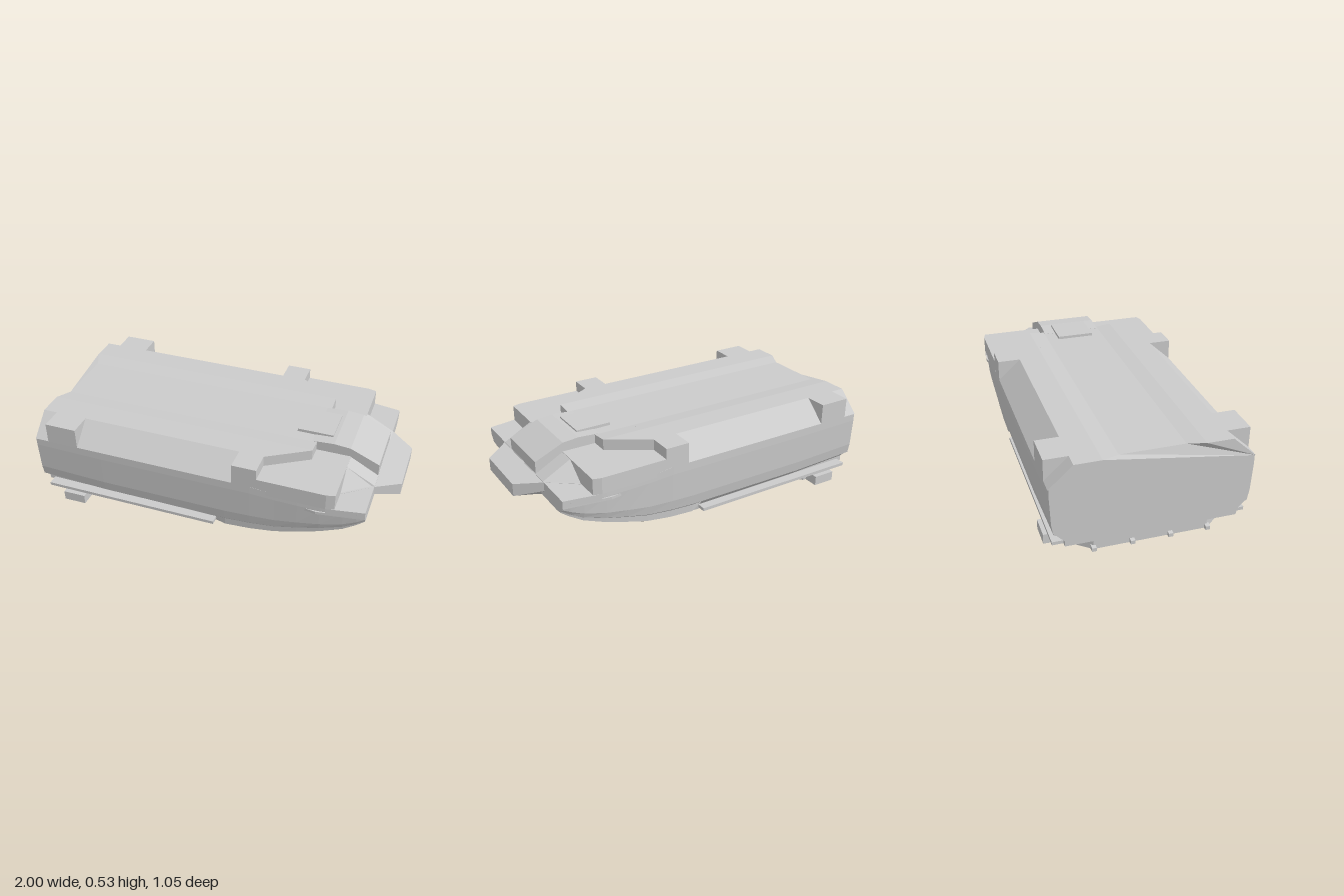
import * as THREE from 'three';

const material = new THREE.MeshStandardMaterial({ color: 0xcccccc, flatShading: true, side: THREE.DoubleSide });

function part(name, geometry, parent) {
  const mesh = new THREE.Mesh(geometry, material);
  mesh.name = name;
  parent.add(mesh);
  return mesh;
}

function box(name, x0, x1, y0, y1, z0, z1, parent) {
  const g = new THREE.BoxGeometry(x1 - x0, y1 - y0, z1 - z0);
  g.translate((x0 + x1) / 2, (y0 + y1) / 2, (z0 + z1) / 2);
  return part(name, g, parent);
}

function extrude(points, depth) {
  const shape = new THREE.Shape(points.map(([a, b]) => new THREE.Vector2(a, b)));
  return new THREE.ExtrudeGeometry(shape, { depth, bevelEnabled: false });
}

// Side profile (x, y) pulled symmetrically across z
const acrossZ = (points, half) => extrude(points, 2 * half).translate(0, 0, -half);
// Plan outline (x, z) raised from y0 to y1
const plan = (points, y0, y1) => extrude(points, y1 - y0).rotateX(Math.PI / 2).translate(0, y1, 0);
// Half outline (x, z) closed by its mirror image
const mirrored = (half) => [...half, ...half.slice().reverse().map(([a, z]) => [a, -z])];
// Closed ring at x from a half section of (y, z)
const ring = (x, half) => mirrored(half).map(([y, z]) => [x, y, z]);

// Skin closed rings of equal length and cap both ends with fans
function loft(rings) {
  const n = rings[0].length;
  const index = [];
  for (let i = 0; i < rings.length - 1; i++) {
    for (let j = 0; j < n; j++) {
      const a = i * n + j, b = i * n + (j + 1) % n;
      index.push(a, b, a + n, b, b + n, a + n);
    }
  }
  const last = (rings.length - 1) * n;
  for (let j = 1; j < n - 1; j++) index.push(0, j + 1, j, last, last + j, last + j + 1);
  const g = new THREE.BufferGeometry();
  g.setAttribute('position', new THREE.Float32BufferAttribute(rings.flat(2), 3));
  g.setIndex(index);
  return g.toNonIndexed();
}

// Lower hull section; each station sets half width, top, bottom and undercut depth
const hullRing = ([x, w, top, bottom, cut]) => ring(x, [
  [0, 1], [0.13, 1], [0.6, 0.985], [0.77, 0.965], [0.79, 0.955 - cut * 0.2], [0.91, 0.95 - cut], [1, 0.86],
].map(([t, s]) => [top + (bottom - top) * t, w * s]));

export function createModel() {
  const model = new THREE.Group();
  model.name = 'spacecraft';

  // Lower hull, curving up to the nose
  const stations = [
    [-1, 0.52, 0.415, 0.075, 0.09], [-0.6, 0.525, 0.415, 0.06, 0.09], [0.05, 0.525, 0.415, 0.06, 0.08],
    [0.12, 0.525, 0.415, 0.06, 0], [0.26, 0.525, 0.415, 0.07, 0], [0.4, 0.522, 0.4, 0.092, 0],
    [0.52, 0.52, 0.39, 0.13, 0], [0.64, 0.515, 0.38, 0.17, 0], [0.76, 0.505, 0.375, 0.22, 0],
    [0.83, 0.495, 0.375, 0.265, 0], [0.87, 0.485, 0.375, 0.295, 0],
  ];
  part('lowerHull', loft(stations.map(hullRing)), model);

  // Upper hull with sloping flanks, a shallow channel on top and a notched rear edge
  const section = [[0.415, 0.525], [0.53, 0.4], [0.53, 0.26], [0.52, 0.17]];
  const rear = ring(-1, section).map(([x, y, z]) => [Math.abs(z) < 0.2 ? -0.96 : x, y, z]);
  part('upperHull', loft([rear, ring(0.3, section)]), model);

  // Raised deck tapering in toward the cockpit
  part('raisedDeck', loft([
    ring(0.3, [[0.46, 0.4], [0.53, 0.4], [0.53, 0.26], [0.52, 0.17]]),
    ring(0.525, [[0.46, 0.262], [0.53, 0.262], [0.53, 0.26], [0.52, 0.17]]),
  ]), model);
  part('cockpit', acrossZ([
    [0.5, 0.4], [0.5, 0.521], [0.62, 0.528], [0.71, 0.52], [0.87, 0.45], [0.87, 0.36], [0.7, 0.36],
  ], 0.167), model);
  box('roofHatch', 0.4, 0.6, 0.515, 0.536, -0.105, 0.105, model);

  // Shoulders step down to a low foredeck, with a wedge sloping beside the cockpit
  part('shoulderDeck', plan(mirrored([[0.28, 0.523], [0.67, 0.523], [0.715, 0.51]]), 0.38, 0.47), model);
  part('foredeck', plan(mirrored([[0.67, 0.522], [0.87, 0.488]]), 0.345, 0.38), model);
  part('foredeckWedge', loft([
    ring(0.71, [[0.375, 0.385], [0.47, 0.26]]), ring(0.872, [[0.37, 0.265], [0.382, 0.26]]),
  ]), model);

  // Projecting nose plate with a keeled underside
  part('nosePlate', loft([
    ring(0.72, [[0.382, 0.38], [0.33, 0.38], [0.25, 0.17]]),
    ring(0.87, [[0.38, 0.266], [0.33, 0.266], [0.265, 0.17]]),
    ring(1, [[0.36, 0.166], [0.29, 0.166], [0.288, 0.16]]),
  ]), model);

  // Rear underside platform with an angled front edge
  part('rearPlatform', plan(mirrored([
    [-0.98, 0.3], [-0.87, 0.44], [-0.72, 0.44], [-0.6, 0.28], [-0.42, 0.2],
  ]), 0.01, 0.075), model);
  for (const z of [-0.3, -0.1, 0.1, 0.3]) {
    part('platformFin', acrossZ([[-1, 0.01], [-0.8, 0.004], [-0.8, 0.07], [-1, 0.03]], 0.012)
      .translate(0, 0, z), model);
  }

  for (const s of [1, -1]) {
    const side = new THREE.Group();
    side.name = s > 0 ? 'frontSide' : 'backSide';
    model.add(side);
    const at = (name, x0, x1, y0, y1, z0, z1) =>
      box(name, x0, x1, y0, y1, Math.min(s * z0, s * z1), Math.max(s * z0, s * z1), side);
    // Square blocks on the sloping flank
    at('rearBlock', -0.92, -0.74, 0.415, 0.53, 0.395, 0.525);
    at('frontBlock', 0.165, 0.3, 0.415, 0.53, 0.395, 0.525);
    // Foot and lower rail
    at('rearFoot', -0.87, -0.74, 0.01, 0.065, 0.42, 0.525);
    at('lowerRail', -0.97, 0.05, 0.072, 0.09, 0.42, 0.505);
    // Thin flared cheek under the shoulder
    part('cheekFin', plan([[0.32, s * 0.48], [0.62, s * 0.526], [0.87, s * 0.488], [0.87, s * 0.4]], 0.335, 0.35), side);
  }
  return model;
}
